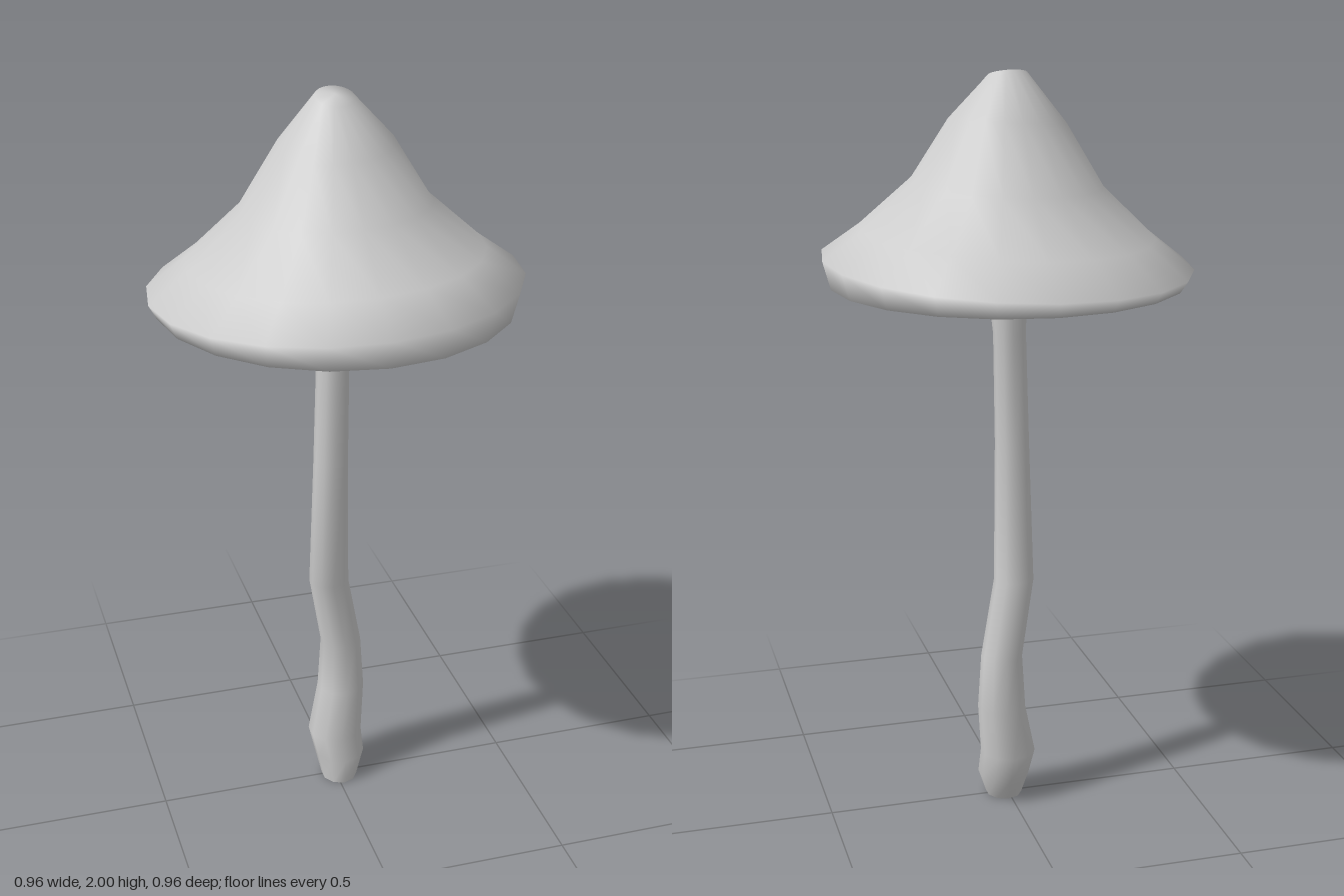
import * as THREE from 'three';
import { mergeVertices } from 'three/addons/utils/BufferGeometryUtils.js';

const material = new THREE.MeshStandardMaterial({ color: 0xcccccc, roughness: 0.8 });

// Weld the lathe seam and poles so the shading stays smooth all round
function smooth(geometry) {
  geometry.deleteAttribute('uv');
  geometry.deleteAttribute('normal');
  const welded = mergeVertices(geometry, 1e-4);
  welded.computeVertexNormals();
  return welded;
}

// Bell-shaped cap: hollow underside, rolled rim, slightly uneven cone
function createCap() {
  const profile = [
    [0, 1.53], [0.25, 1.50], [0.435, 1.465], [0.46, 1.46], [0.48, 1.515],
    [0.38, 1.59], [0.245, 1.715], [0.15, 1.868], [0.05, 1.984], [0, 1.99],
  ].map(([r, y]) => new THREE.Vector2(r, y));
  const geometry = new THREE.LatheGeometry(profile, 20);
  const p = geometry.attributes.position;
  for (let i = 0; i < p.count; i++) {
    const x = p.getX(i), y = p.getY(i), z = p.getZ(i);
    // the outer skin lifts to the front left, the tip leans the other way
    if (y > 1.95) p.setY(i, y - 0.28 * z);
    else if (y > 1.85) p.setY(i, y + 0.06 * (x - z));
    else if (Math.hypot(x, z) > 0.2 && y > 1.505) p.setY(i, y + 0.037 * (x + z));
  }
  const cap = new THREE.Mesh(smooth(geometry), material);
  cap.name = 'cap';
  return cap;
}

// Crooked stem lofted through round sections
function createStem() {
  const sides = 10;
  // y, centre x, centre z, radius x, radius z
  const sections = [
    [0, 0.01, 0.005, 0.05, 0.055], [0.07, 0.015, -0.013, 0.07, 0.073],
    [0.14, 0.005, -0.022, 0.075, 0.073], [0.28, 0.026, -0.035, 0.065, 0.065],
    [0.43, 0.025, -0.032, 0.056, 0.054], [0.64, -0.015, -0.01, 0.054, 0.049],
    [1.02, -0.018, 0.02, 0.046, 0.042], [1.32, -0.005, -0.003, 0.043, 0.042],
    [1.46, 0, 0.004, 0.052, 0.054], [1.53, 0, 0.004, 0.054, 0.056],
  ];
  const points = [], faces = [];
  sections.forEach(([y, cx, cz, rx, rz], row) => {
    for (let i = 0; i < sides; i++) {
      const a = (i / sides) * Math.PI * 2;
      points.push(cx + rx * Math.sin(a), y, cz + rz * Math.cos(a));
      if (row === 0) continue;
      const b = row * sides + i, c = row * sides + (i + 1) % sides;
      faces.push(b - sides, c - sides, c, b - sides, c, b);
    }
  });
  const geometry = new THREE.BufferGeometry();
  geometry.setAttribute('position', new THREE.Float32BufferAttribute(points, 3));
  geometry.setIndex(faces);
  geometry.computeVertexNormals();
  const stem = new THREE.Mesh(geometry, material);
  stem.name = 'stem';

  // flat cut closing the foot
  const [, x, z, rx, rz] = sections[0];
  const foot = new THREE.Mesh(new THREE.CircleGeometry(1, sides, Math.PI / 2), material);
  foot.rotation.x = Math.PI / 2;
  foot.scale.set(rx, rz, 1);
  foot.position.set(x, 0, z);
  foot.name = 'stemFoot';
  return [stem, foot];
}

export function createModel() {
  const model = new THREE.Group();
  model.name = 'mushroom';
  model.add(createCap(), ...createStem());
  return model;
}
